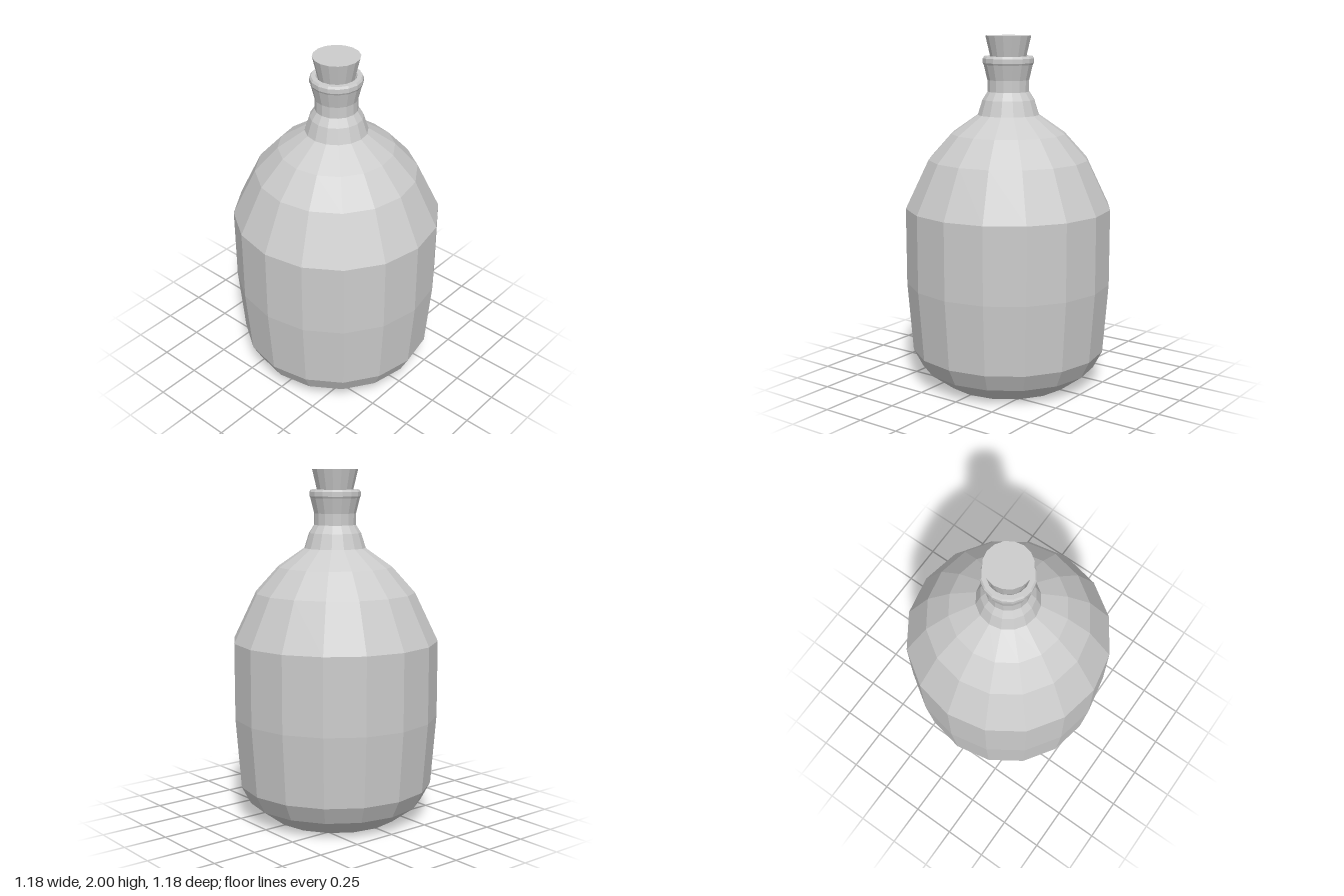
import * as THREE from 'three';

const SIDES = 16;

// Revolve a list of [radius, height] pairs around the vertical axis
function turned(name, profile, material) {
  const points = profile.map(([r, y]) => new THREE.Vector2(r, y));
  const mesh = new THREE.Mesh(new THREE.LatheGeometry(points, SIDES), material);
  mesh.name = name;
  return mesh;
}

export function createModel() {
  const grey = new THREE.MeshStandardMaterial({ color: 0xcccccc, flatShading: true });
  grey.name = 'plain grey';

  const bottle = new THREE.Group();
  bottle.name = 'bottle';

  // Flat base, bevelled foot, straight belly and rounded shoulders
  bottle.add(turned('body', [
    [0, 0], [0.37, 0], [0.505, 0.1], [0.557, 0.2], [0.588, 0.6],
    [0.588, 1.035], [0.456, 1.31], [0.325, 1.455], [0.175, 1.56],
  ], grey));

  // Neck that narrows and flares out again under the lip
  bottle.add(turned('neck', [
    [0.175, 1.56], [0.148, 1.645], [0.119, 1.69], [0.119, 1.755], [0.14, 1.84],
  ], grey));

  // Rounded lip, running down inside the mouth
  bottle.add(turned('lip', [
    [0.14, 1.84], [0.145, 1.85], [0.145, 1.875], [0.137, 1.887],
    [0.112, 1.887], [0.1, 1.86], [0.085, 1.78],
  ], grey));

  // Tapered stopper
  bottle.add(turned('stopper', [
    [0, 1.79], [0.08, 1.79], [0.13, 2], [0, 2],
  ], grey));

  return bottle;
}
